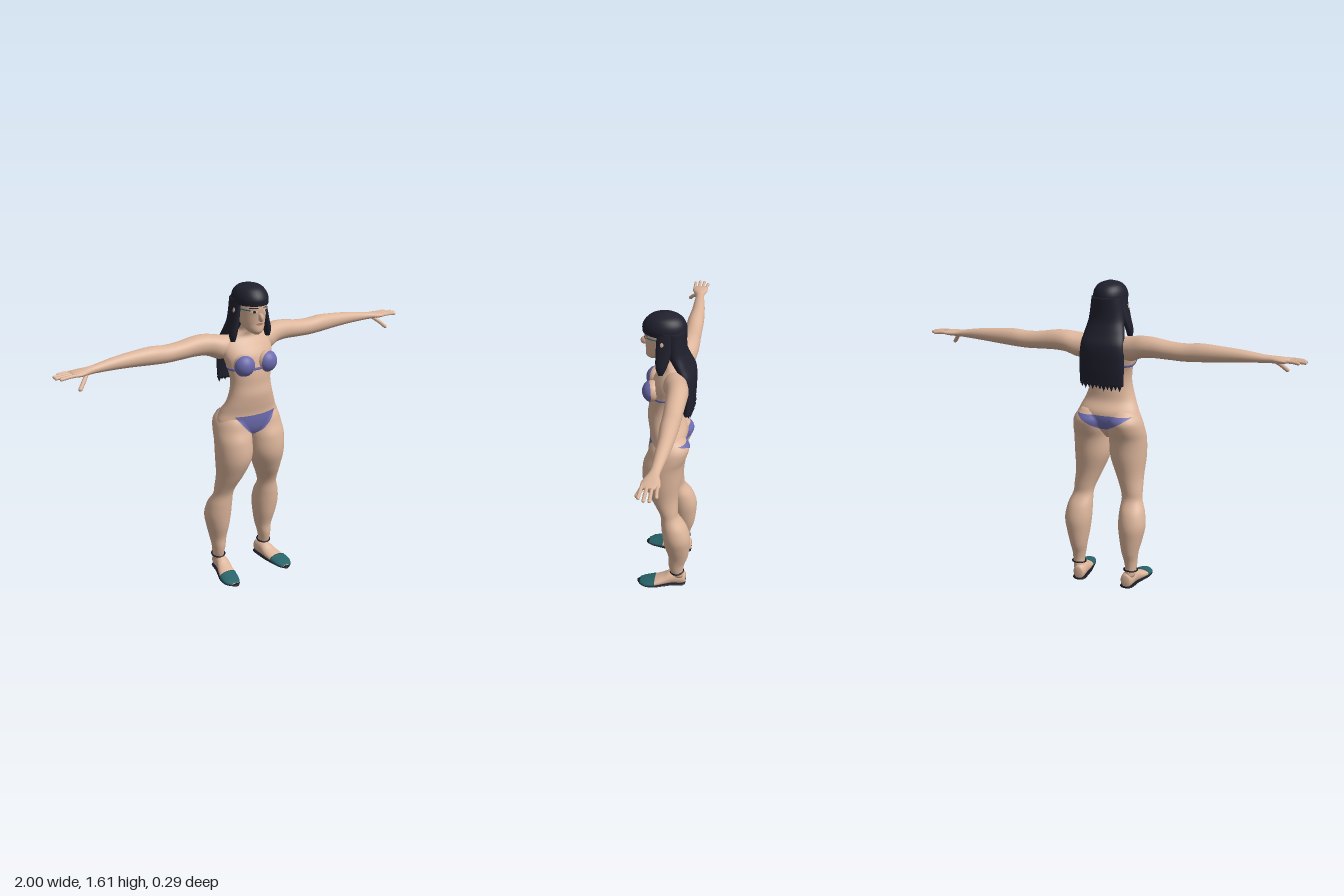
import * as THREE from 'three';

const mat = (name, color, side = THREE.FrontSide) => {
  const m = new THREE.MeshStandardMaterial({ color, side });
  m.name = name;
  return m;
};

// Cross-sections: [position along axis, centre a, centre b, radius a, radius b]
const TORSO = [
  [0.80, 0, 0, 0.03, 0.03], [0.83, 0, 0, 0.09, 0.06], [0.86, 0, -0.005, 0.15, 0.08], [0.9, 0, -0.01, 0.178, 0.092],
  [0.95, 0, -0.008, 0.16, 0.092], [1.0, 0, 0.012, 0.137, 0.08], [1.05, 0, 0.019, 0.12, 0.078],
  [1.1, 0, 0.018, 0.112, 0.073], [1.15, 0, 0.014, 0.115, 0.074], [1.2, 0, 0.002, 0.126, 0.077],
  [1.25, 0, -0.011, 0.138, 0.077], [1.3, 0, -0.032, 0.135, 0.066], [1.335, 0, -0.04, 0.095, 0.05],
  [1.36, 0, -0.025, 0.047, 0.042], [1.39, 0, -0.015, 0.039, 0.04], [1.43, 0, 0, 0.038, 0.04]];
const LEG = [
  [0.06, 0.145, -0.083, 0.028, 0.033], [0.1, 0.15, -0.073, 0.03, 0.037], [0.15, 0.148, -0.072, 0.036, 0.045],
  [0.2, 0.147, -0.08, 0.045, 0.053], [0.28, 0.15, -0.075, 0.062, 0.068], [0.35, 0.152, -0.07, 0.072, 0.074],
  [0.42, 0.147, -0.055, 0.067, 0.066], [0.48, 0.138, -0.032, 0.055, 0.048], [0.52, 0.133, -0.022, 0.058, 0.053],
  [0.6, 0.115, 0, 0.073, 0.075], [0.7, 0.1, 0.013, 0.095, 0.1], [0.8, 0.098, 0.007, 0.098, 0.102],
  [0.86, 0.095, -0.015, 0.096, 0.102], [0.91, 0.09, -0.025, 0.088, 0.098], [0.96, 0.08, -0.02, 0.06, 0.06]];
const ARM = [
  [0.07, 1.285, -0.05, 0.05, 0.05], [0.14, 1.284, -0.06, 0.062, 0.06], [0.2, 1.3, -0.075, 0.055, 0.055],
  [0.26, 1.303, -0.08, 0.051, 0.05], [0.35, 1.295, -0.08, 0.045, 0.046], [0.42, 1.292, -0.08, 0.044, 0.044],
  [0.5, 1.297, -0.08, 0.045, 0.043], [0.6, 1.298, -0.08, 0.038, 0.036], [0.7, 1.297, -0.075, 0.03, 0.03],
  [0.8, 1.292, -0.067, 0.02, 0.023], [0.83, 1.291, -0.063, 0.018, 0.026], [0.87, 1.29, -0.06, 0.016, 0.039],
  [0.9, 1.29, -0.06, 0.013, 0.042], [0.92, 1.29, -0.06, 0.009, 0.037]];
const HEAD = [
  [1.362, 0, 0.068, 0.014, 0.022], [1.38, 0, 0.056, 0.04, 0.047], [1.42, 0, 0.03, 0.061, 0.073],
  [1.46, 0, 0.02, 0.07, 0.086], [1.5, 0, 0.015, 0.075, 0.095], [1.55, 0, 0.01, 0.07, 0.09], [1.58, 0, 0.01, 0.04, 0.05]];
const FOOT = [
  [-0.122, 0.136, 0.038, 0.02, 0.03], [-0.11, 0.137, 0.041, 0.031, 0.04], [-0.045, 0.143, 0.042, 0.037, 0.041],
  [0, 0.152, 0.03, 0.043, 0.029], [0.05, 0.164, 0.02, 0.046, 0.019], [0.1, 0.169, 0.014, 0.04, 0.012],
  [0.13, 0.166, 0.01, 0.023, 0.007]];

// Smooth interpolation between cross-sections
function sample(rings, t) {
  const n = rings.length;
  let i = 0;
  while (i < n - 2 && t > rings[i + 1][0]) i++;
  const p = rings[i], q = rings[i + 1], o = rings[Math.max(i - 1, 0)], r = rings[Math.min(i + 2, n - 1)];
  const h = q[0] - p[0], u = (t - p[0]) / h;
  return p.map((v, k) => {
    if (k === 0) return t;
    const m0 = (q[k] - o[k]) / (q[0] - o[0]) * h, m1 = (r[k] - p[k]) / (r[0] - p[0]) * h;
    return (2 * u ** 3 - 3 * u * u + 1) * v + (u ** 3 - 2 * u * u + u) * m0
      + (3 * u * u - 2 * u ** 3) * q[k] + (u ** 3 - u * u) * m1;
  });
}

// Closed elliptical skin along an axis, optionally mirrored in x
function loft(rings, axis = 'y', mirror = false, grow = 0, from = rings[0][0], to = rings.at(-1)[0], steps = 48, n = 32) {
  const pos = [], idx = [], flip = (axis !== 'y') !== mirror;
  const put = (t, a, b) => {
    const v = axis === 'y' ? [a, t, b] : axis === 'x' ? [t, a, b] : [a, b, t];
    pos.push(mirror ? -v[0] : v[0], v[1], v[2]);
  };
  const tri = (a, b, c) => (flip ? idx.push(a, c, b) : idx.push(a, b, c));
  for (let i = 0; i <= steps; i++) {
    const [t, a, b, ra, rb] = sample(rings, from + (to - from) * i / steps);
    for (let j = 0; j < n; j++) {
      const w = j / n * Math.PI * 2;
      put(t, a + (ra + grow) * Math.cos(w), b + (rb + grow) * Math.sin(w));
    }
  }
  for (let i = 0; i < steps; i++) for (let j = 0; j < n; j++) {
    const k = (j + 1) % n, p = i * n, q = p + n;
    tri(p + j, q + j, p + k);
    tri(p + k, q + j, q + k);
  }
  for (const [t, row, end] of [[from, 0, false], [to, steps * n, true]]) {
    const s = sample(rings, t), c = pos.length / 3;
    put(t, s[1], s[2]);
    for (let j = 0; j < n; j++) {
      const k = (j + 1) % n;
      end ? tri(c, row + k, row + j) : tri(c, row + j, row + k);
    }
  }
  const g = new THREE.BufferGeometry();
  g.setAttribute('position', new THREE.Float32BufferAttribute(pos, 3));
  g.setIndex(idx);
  g.computeVertexNormals();
  return g;
}

// Thin patch laid over the front (side 1) or back (side -1) of the given bodies
function drape(bodies, side, xc, y0, y1, width, lift = 0.004) {
  const g = new THREE.PlaneGeometry(2, 1, 24, 12), p = g.attributes.position;
  for (let i = 0; i < p.count; i++) {
    const t = p.getY(i) + 0.5, y = y0 + (y1 - y0) * t, x = xc + p.getX(i) * width(t);
    let z = -1;
    for (const rings of bodies) {
      const [, a, b, ra, rb] = sample(rings, y), d = ((rings === LEG ? Math.abs(x) : x) - a) / ra;
      if (y < rings.at(-1)[0] && Math.abs(d) < 1) z = Math.max(z, side * b + rb * Math.sqrt(1 - d * d));
    }
    p.setXYZ(i, x, y, side * (z + lift));
  }
  g.computeVertexNormals();
  return g;
}

const rod = (points, r) => new THREE.TubeGeometry(
  new THREE.CatmullRomCurve3(points.map(p => new THREE.Vector3(...p))), 12, r, 8);

export function createModel() {
  const root = new THREE.Group();
  root.name = 'figure';
  const skin = mat('skin', 0xdcb59b), hair = mat('hair', 0x20202e);
  const cloth = mat('swimwear', 0x6c6bae, THREE.DoubleSide), teal = mat('teal', 0x27646a);
  const dark = mat('sole', 0x181822), white = mat('eye white', 0xe6e0da, THREE.DoubleSide);
  const iris = mat('iris', 0x3a2c28, THREE.DoubleSide), lip = mat('lip', 0xb47a68, THREE.DoubleSide);
  const add = (name, geo, m) => {
    const mesh = new THREE.Mesh(geo, m);
    mesh.name = name;
    root.add(mesh);
    return mesh;
  };
  const oval = r => t => r * Math.sqrt(Math.max(0, 1 - (2 * t - 1) ** 2));

  // Body and head
  add('torso', loft(TORSO, 'y', false, 0, 0.8, 1.43, 72, 40), skin);
  add('head', loft(HEAD), skin);
  const nose = add('nose', new THREE.SphereGeometry(1, 16, 12), skin);
  nose.scale.set(0.011, 0.022, 0.02);
  nose.position.set(0, 1.452, 0.109);
  nose.rotation.x = -0.3;
  add('mouth', drape([HEAD], 1, 0, 1.412, 1.424, oval(0.02), 0.003), lip);

  // Swimwear
  add('briefsFront', drape([TORSO, LEG], 1, 0, 0.83, 0.94, t => 0.015 + 0.105 * t ** 0.75), cloth);
  add('briefsBack', drape([TORSO, LEG], -1, 0, 0.86, 0.935, t => 0.02 + 0.13 * t), cloth);
  add('chestBand', loft(TORSO, 'y', false, 0.002, 1.178, 1.19, 3, 40), cloth);

  // Hair
  add('hairCap', loft([[1.51, 0, 0.012, 0.083, 0.106], [1.54, 0, 0.012, 0.084, 0.106], [1.57, 0, 0.01, 0.073, 0.09],
    [1.592, 0, 0.01, 0.05, 0.06], [1.605, 0, 0.01, 0.008, 0.01]]), hair);
  add('backHair', loft([[1.1, 0, -0.11, 0.116, 0.028], [1.2, 0, -0.111, 0.119, 0.034], [1.3, 0, -0.102, 0.115, 0.041],
    [1.36, 0, -0.072, 0.105, 0.045], [1.42, 0, -0.045, 0.093, 0.052], [1.53, 0, -0.035, 0.08, 0.06]]), hair);
  for (let i = -5; i <= 5; i++) {
    const tip = add('hairTip', new THREE.ConeGeometry(0.012, 0.03, 6), hair);
    tip.rotation.x = Math.PI;
    tip.position.set(i * 0.02, 1.093 + (i % 2) * 0.006, -0.11 - 0.022 * Math.sqrt(1 - (i / 5.6) ** 2));
  }

  for (const s of [1, -1]) {
    const mirror = s < 0, side = mirror ? 'right' : 'left';
    const part = (name, geo, m) => add(side + name, geo, m);

    // Limbs
    part('Leg', loft(LEG, 'y', mirror, 0, 0.06, 0.96, 72), skin);
    part('Arm', loft(ARM, 'x', mirror, 0, 0.07, 0.92, 72), skin);
    [0.965, 0.992, 0.993, 0.978].forEach((tip, i) => {
      const z = -0.09 + i * 0.021;
      part('Finger', rod([[s * 0.89, 1.291, z], [s * 0.94, 1.291, z * 1.08 + 0.004], [s * tip, 1.288, z * 1.16 + 0.008]], 0.008), skin);
      const end = part('Fingertip', new THREE.SphereGeometry(0.008, 10, 8), skin);
      end.position.set(s * tip, 1.288, z * 1.16 + 0.008);
    });
    part('Thumb', rod([[s * 0.845, 1.283, -0.05], [s * 0.875, 1.257, -0.022], [s * 0.9, 1.232, -0.004]], 0.01), skin);
    part('Thumbtip', new THREE.SphereGeometry(0.01, 10, 8), skin).position.set(s * 0.9, 1.232, -0.004);

    // Chest and cups
    const bust = part('Breast', new THREE.SphereGeometry(1, 24, 18), skin);
    bust.scale.set(0.053, 0.054, 0.05);
    bust.position.set(s * 0.066, 1.208, 0.062);
    const cup = part('Cup', new THREE.SphereGeometry(1, 28, 12, 0, Math.PI * 2, 0, 1.25).rotateX(Math.PI / 2).rotateY(s * 0.3), cloth);
    cup.scale.set(0.056, 0.057, 0.053);
    cup.position.copy(bust.position);

    // Foot and slipper
    part('Foot', loft(FOOT, 'z', mirror), skin);
    part('SlipperToe', loft(FOOT, 'z', mirror, 0.004, 0.045, 0.13, 16), teal);
    part('Sole', loft([...FOOT.map(([z, x, , r]) => [z, x, 0.006, r + 0.004, 0.006]), [0.145, 0.162, 0.006, 0.008, 0.005]], 'z', mirror), dark);
    const strap = part('AnkleStrap', new THREE.TorusGeometry(0.036, 0.004, 8, 28), dark);
    strap.rotation.x = Math.PI / 2 + 0.12;
    strap.position.set(s * 0.149, 0.092, -0.075);

    // Face details
    part('EyeWhite', drape([HEAD], 1, s * 0.032, 1.476, 1.489, oval(0.016), 0.002), white);
    part('Iris', drape([HEAD], 1, s * 0.032, 1.476, 1.489, oval(0.007), 0.004), iris);
    part('Brow', drape([HEAD], 1, s * 0.033, 1.498, 1.502, () => 0.019, 0.003), iris);
    part('EyeLine', rod([[s * 0.046, 1.488, 0.092], [s * 0.066, 1.49, 0.06], [s * 0.076, 1.492, 0.02]], 0.003), teal);
    const ear = part('Ear', new THREE.SphereGeometry(1, 14, 10), skin);
    ear.scale.set(0.012, 0.026, 0.016);
    ear.position.set(s * 0.084, 1.472, 0.012);

    // Side lock
    part('HairLock', loft([[1.325, 0.102, 0.018, 0.012, 0.012], [1.36, 0.1, 0.016, 0.018, 0.026],
      [1.42, 0.088, 0.008, 0.018, 0.036], [1.53, 0.07, 0.002, 0.014, 0.038]], 'y', mirror), hair);
  }
  return root;
}
